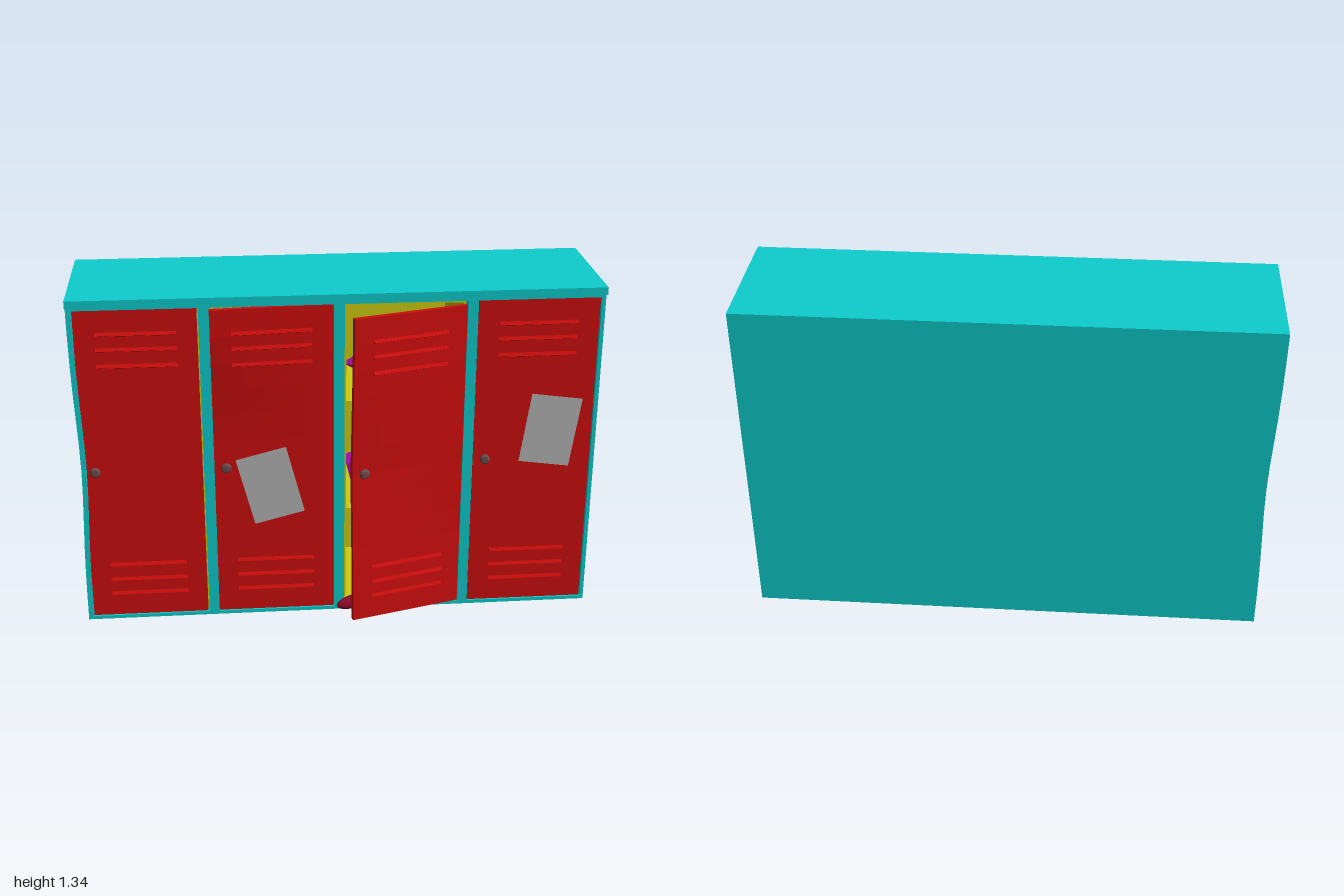
import * as THREE from 'three';

const paint = (color) => new THREE.MeshStandardMaterial({ color, flatShading: true });
const CYAN = paint(0x0ecccc), RED = paint(0xcc0d0d), YELLOW = paint(0xcccc10);
const PURPLE = paint(0xaa10aa), CRIMSON = paint(0x8a0a28), KNOB = paint(0x6e4c4c);
const PAPER = new THREE.MeshStandardMaterial({ color: 0xb4b4b4, side: THREE.DoubleSide });

function add(parent, name, geometry, material, x = 0, y = 0, z = 0) {
  const mesh = new THREE.Mesh(geometry, material);
  mesh.name = name;
  mesh.position.set(x, y, z);
  parent.add(mesh);
  return mesh;
}

// Move every vertex by a rule
function deform(geometry, rule) {
  const p = geometry.attributes.position, v = new THREE.Vector3();
  for (let i = 0; i < p.count; i++) {
    v.fromBufferAttribute(p, i);
    rule(v);
    p.setXYZ(i, v.x, v.y, v.z);
  }
  geometry.computeVertexNormals();
  return geometry;
}

// Box given by its limits, cut into rows so it can bend
function slab(x0, x1, y0, y1, z0, z1, rows = 1, cols = 1) {
  return new THREE.BoxGeometry(x1 - x0, y1 - y0, z1 - z0, cols, rows, 1)
    .translate((x0 + x1) / 2, (y0 + y1) / 2, (z0 + z1) / 2);
}

// Shallow dent in the outer wall on the -x side
const dent = (v) => {
  if (v.x < -0.96) v.x += 0.015 * Math.exp(-(((v.y - 0.65) / 0.3) ** 2));
};

// Door with its hinge on the local y axis; bend(y) pushes the free edge along z
function makeDoor({ name, hingeX, width, top, angle = 0, bend = () => 0, note }) {
  const door = new THREE.Group();
  door.name = name;
  door.position.set(hingeX, 0, 0.182);
  door.rotation.y = angle;
  const warp = (v) => { v.z += bend(v.y) * Math.max(0, -v.x / width); };

  add(door, 'doorPanel', deform(slab(-width, 0, 0.015, top, -0.02, 0, 12, 4), warp), RED);

  // Pressed vents: sloping wedges, three at the top and three at the bottom
  const wedge = new THREE.Shape([[0, 0.008], [0.008, -0.004], [0, -0.008]].map(([a, b]) => new THREE.Vector2(a, b)));
  const drop = 1.29 - top;
  for (const y of [1.195 - drop, 1.135 - drop, 1.07 - drop, 0.24, 0.175, 0.112]) {
    const vent = new THREE.ExtrudeGeometry(wedge, { depth: 0.3, bevelEnabled: false })
      .rotateY(-Math.PI / 2).translate(-width / 2 + 0.15, y, 0);
    add(door, 'vent', deform(vent, warp), RED);
  }

  // Round knob on a short stem
  const knobX = -width + 0.045, knobZ = bend(0.645) * 0.9;
  const profile = [[0, 0], [0.012, 0], [0.012, 0.006], [0.02, 0.009], [0.02, 0.015], [0.014, 0.021], [0, 0.022]];
  const knob = new THREE.LatheGeometry(profile.map(([r, h]) => new THREE.Vector2(r, h)), 14).rotateX(Math.PI / 2);
  add(door, 'knob', knob, KNOB, knobX, 0.645, knobZ);

  // Taped note
  if (note) {
    const sheet = add(door, 'note', new THREE.PlaneGeometry(0.2, 0.284), PAPER, note[0] - hingeX, note[1], 0.008);
    sheet.rotation.z = note[2];
  }
  return door;
}

export function createModel() {
  const model = new THREE.Group();
  model.name = 'lockers';

  // Cabinet shell
  const body = new THREE.Group();
  body.name = 'cabinet';
  model.add(body);
  const shell = (name, ...limits) => add(body, name, deform(slab(...limits, 12), dent), CYAN);
  shell('topPanel', -1, 1, 1.305, 1.335, -0.315, 0.21);
  shell('topRail', -1, 1, 1.29, 1.306, -0.31, 0.188);
  shell('bottomPanel', -1, 1, 0, 0.014, -0.315, 0.188);
  shell('backPanel', -1, 1, 0, 1.306, -0.315, -0.3);
  shell('rightWall', -1, -0.98, 0, 1.306, -0.314, 0.188);
  shell('leftWall', 0.985, 1, 0, 1.306, -0.314, 0.188);
  for (const x of [-0.5, 0, 0.5]) shell('divider', x - 0.02, x + 0.02, 0.01, 1.3, -0.31, 0.188);

  // Yellow lining and shelves of each compartment
  for (const x of [-0.75, -0.25, 0.25, 0.75]) {
    const lining = new THREE.Group();
    lining.name = 'compartment';
    lining.position.x = x;
    body.add(lining);
    add(lining, 'liningBack', slab(-0.228, 0.228, 0.014, 1.29, -0.3, -0.29), YELLOW);
    for (const s of [-1, 1]) {
      const side = slab(-0.004, 0.004, 0.014, 1.29, -0.3, 0.155);
      add(lining, 'liningSide', side, YELLOW, s * 0.225);
    }
    for (const y of [0.018, 0.43, 0.885, 1.28]) {
      add(lining, y > 0.1 && y < 1.2 ? 'shelf' : 'liningEnd', slab(-0.225, 0.225, -0.006, 0.006, -0.3, 0.155), YELLOW, 0, y);
    }
  }

  // Doors: one has a sprung corner, one hangs open and is creased
  const corner = (y) => 0.04 * THREE.MathUtils.smoothstep(y, 0.75, 1.25);
  const crease = (y) => -0.018 * Math.max(0, 1 - Math.abs(y - 0.64) / 0.45);
  model.add(
    makeDoor({ name: 'doorFarRight', hingeX: -0.525, width: 0.453, top: 1.29 }),
    makeDoor({ name: 'doorMidRight', hingeX: -0.022, width: 0.458, top: 1.29, bend: corner, note: [-0.267, 0.562, 0.25] }),
    makeDoor({ name: 'doorMidLeft', hingeX: 0.48, width: 0.452, top: 1.27, angle: 0.283, bend: crease }),
    makeDoor({ name: 'doorFarLeft', hingeX: 0.982, width: 0.46, top: 1.29, note: [0.82, 0.757, -0.14] }),
  );

  // Things left in the open compartment
  const shoe = add(model, 'shoe', new THREE.SphereGeometry(1, 16, 10), CRIMSON, 0.055, 0.042, 0.205);
  shoe.scale.set(0.075, 0.026, 0.028);
  shoe.rotation.y = 0.45;
  const bundle = add(model, 'bundle', new THREE.OctahedronGeometry(0.06), PURPLE, 0.085, 1.02, 0.08);
  bundle.scale.set(1.1, 0.6, 1);
  const bag = add(model, 'bag', new THREE.BoxGeometry(0.1, 0.14, 0.1), PURPLE, 0.1, 0.55, 0.06);
  bag.rotation.z = 0.25;

  return model;
}
